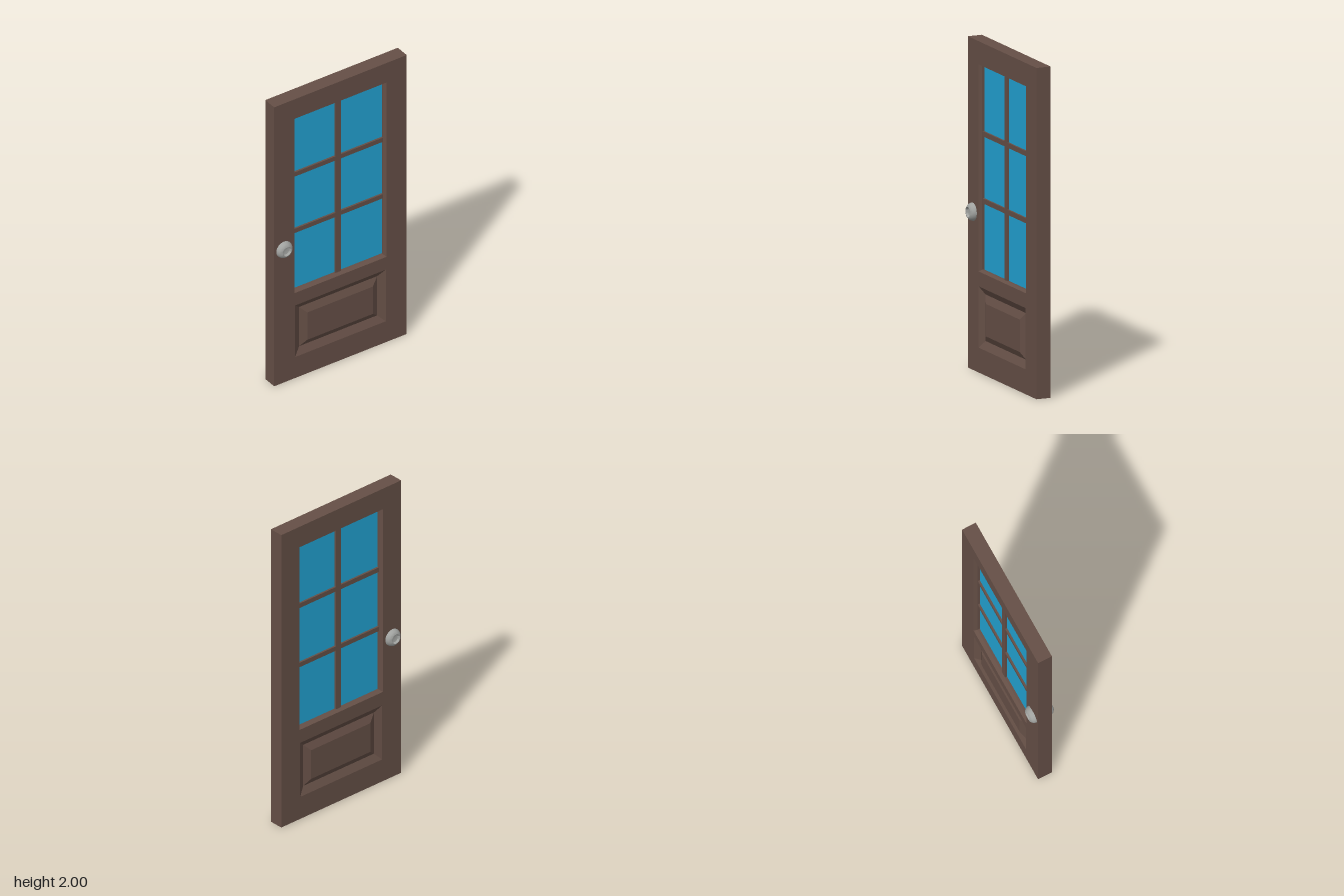
import * as THREE from 'three';
import { toCreasedNormals } from 'three/addons/utils/BufferGeometryUtils.js';

const DEPTH = 0.046; // half thickness of the door

// Flat-shaded surface through nested rectangles [halfWidth, y0, y1, z], outermost first
function rectLoft(rings, cap) {
  const pos = [];
  const corners = ([w, y0, y1, z]) => [[-w, y0, z], [w, y0, z], [w, y1, z], [-w, y1, z]];
  const quad = (a, b, c, d) => pos.push(...a, ...b, ...c, ...a, ...c, ...d);
  for (let i = 0; i < rings.length - 1; i++) {
    const o = corners(rings[i]), n = corners(rings[i + 1]);
    for (let k = 0; k < 4; k++) {
      const j = (k + 1) % 4;
      quad(o[k], o[j], n[j], n[k]);
    }
  }
  if (cap) quad(...corners(rings[rings.length - 1]));
  const geo = new THREE.BufferGeometry();
  geo.setAttribute('position', new THREE.Float32BufferAttribute(pos, 3));
  geo.computeVertexNormals();
  return geo;
}

function rectPath(path, w, y0, y1) {
  path.moveTo(-w, y0);
  path.lineTo(w, y0);
  path.lineTo(w, y1);
  path.lineTo(-w, y1);
  path.closePath();
  return path;
}

export function createModel() {
  const wood = new THREE.MeshStandardMaterial({ color: 0x654f46 });
  wood.name = 'brown wood';
  const glass = new THREE.MeshStandardMaterial({ color: 0x22a2d2 });
  glass.name = 'blue glass';
  const metal = new THREE.MeshStandardMaterial({ color: 0xa0a29f });
  metal.name = 'grey metal';

  const door = new THREE.Group();
  door.name = 'door';
  const add = (parent, name, geo, mat, x = 0, y = 0, z = 0) => {
    const mesh = new THREE.Mesh(geo, mat);
    mesh.name = name;
    mesh.position.set(x, y, z);
    parent.add(mesh);
    return mesh;
  };

  // Slab with openings for the window and the lower panel
  const outline = rectPath(new THREE.Shape(), 0.475, 0, 2);
  outline.holes.push(rectPath(new THREE.Path(), 0.33, 0.61, 1.86));
  outline.holes.push(rectPath(new THREE.Path(), 0.325, 0.15, 0.52));
  const slab = new THREE.ExtrudeGeometry(outline, { depth: 2 * DEPTH, bevelEnabled: false });
  add(door, 'slab', slab, wood, 0, 0, -DEPTH);

  // Window panes and glazing bars
  add(door, 'glass', new THREE.BoxGeometry(0.65, 1.24, 0.02), glass, 0, 1.235, 0);
  add(door, 'uprightBar', new THREE.BoxGeometry(0.038, 1.24, 0.046), wood, 0, 1.235, 0);
  for (const y of [1.44, 1.035]) {
    add(door, 'crossBar', new THREE.BoxGeometry(0.65, 0.03, 0.044), wood, 0, y, 0);
  }

  // Bevelled window moulding, sunken raised panel and dished knob, shared by both faces
  const moulding = rectLoft([
    [0.33, 0.61, 1.86, DEPTH], [0.321, 0.619, 1.851, 0.025], [0.321, 0.619, 1.851, 0.01],
  ], false);
  const panel = rectLoft([
    [0.325, 0.15, 0.52, DEPTH], [0.28, 0.197, 0.478, 0.022], [0.235, 0.236, 0.432, 0.042],
  ], true);
  const profile = [
    [0.055, 0], [0.053, 0.011], [0.047, 0.022], [0.036, 0.032], [0.031, 0.033],
    [0.025, 0.02], [0, 0.014],
  ].map(([r, h]) => new THREE.Vector2(r, h));
  const knob = toCreasedNormals(new THREE.LatheGeometry(profile, 24), 0.6);
  knob.rotateX(Math.PI / 2);

  for (const side of ['front', 'back']) {
    const face = new THREE.Group();
    face.name = side + 'Face';
    if (side === 'back') face.rotation.y = Math.PI;
    add(face, 'windowMoulding', moulding, wood);
    add(face, 'raisedPanel', panel, wood);
    add(face, 'knob', knob, metal, side === 'front' ? -0.405 : 0.405, 0.955, DEPTH);
    door.add(face);
  }
  return door;
}
